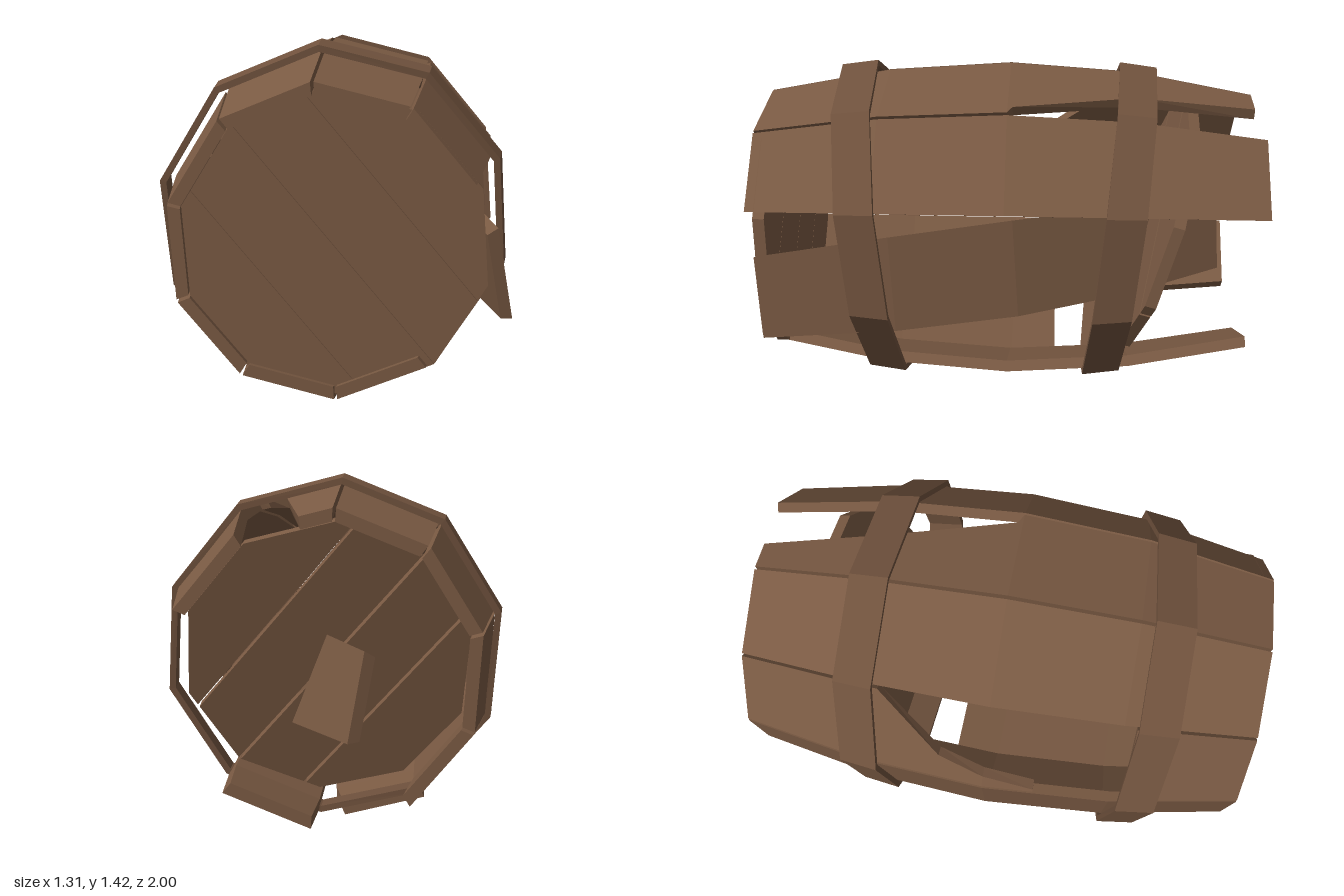
import * as THREE from 'three';

const CY = 0.745;                       // height of the barrel axis
const wood = new THREE.MeshStandardMaterial({ color: 0x7a5a43, flatShading: true });
const hoopWood = new THREE.MeshStandardMaterial({ color: 0x70523d, flatShading: true });

// Ten-sided barrel: angle of corner k, counted clockwise from the top
const cornerAngle = k => THREE.MathUtils.degToRad(94 - 36 * k);

// Outer corner radius along the barrel
function radiusAt(z) {
  const a = Math.abs(z);
  return a < 0.5 ? THREE.MathUtils.lerp(0.672, 0.638, a / 0.5)
    : THREE.MathUtils.lerp(0.638, 0.545, (a - 0.5) / 0.5);
}

// Joins four-cornered sections into a flat-sided solid
function loft(sections, closed = false) {
  const pos = [];
  const quad = (a, b, c, d) => [a, b, c, a, c, d].forEach(p => pos.push(p.x, p.y, p.z));
  const n = sections.length;
  for (let i = 0; i < (closed ? n : n - 1); i++) {
    const p = sections[i], q = sections[(i + 1) % n];
    for (let j = 0; j < 4; j++) quad(p[j], p[(j + 1) % 4], q[(j + 1) % 4], q[j]);
  }
  if (!closed) {
    const s = sections[0], e = sections[n - 1];
    quad(s[3], s[2], s[1], s[0]);
    quad(e[0], e[1], e[2], e[3]);
  }
  const g = new THREE.BufferGeometry();
  g.setAttribute('position', new THREE.Float32BufferAttribute(pos, 3));
  g.computeVertexNormals();
  return g;
}

// Point on side k, at fraction t between its two corners
function sidePoint(k, t, r, z) {
  const a = cornerAngle(k), b = cornerAngle(k + 1);
  return new THREE.Vector3(
    r * THREE.MathUtils.lerp(Math.cos(a), Math.cos(b), t),
    r * THREE.MathUtils.lerp(Math.sin(a), Math.sin(b), t), z);
}

// Stave on side k; each station is [z, t0, t1, radius offset]
function stave(name, k, stations) {
  const gap = 0.018, thick = 0.045;
  const sections = stations.map(([z, t0 = 0, t1 = 1, dr = 0]) => {
    const a = Math.max(t0, gap), b = Math.min(t1, 1 - gap);
    const r = radiusAt(z) + dr;
    return [sidePoint(k, a, r, z), sidePoint(k, b, r, z),
      sidePoint(k, b, r - thick, z), sidePoint(k, a, r - thick, z)];
  });
  const m = new THREE.Mesh(loft(sections), wood);
  m.name = name;
  return m;
}

// Slanted hoop around the staves; dir is +1 for the front, -1 for the back
function hoop(name, zMid, dir) {
  const sections = [];
  for (let k = 0; k < 10; k++) {
    const a = cornerAngle(k);
    const z = zMid + dir * 0.07 * Math.cos(a - THREE.MathUtils.degToRad(115));
    const at = (r, dz) => new THREE.Vector3(r * Math.cos(a), r * Math.sin(a), z + dz);
    const rb = dir > 0 ? 0.675 : 0.655, rf = dir > 0 ? 0.655 : 0.675;
    sections.push([at(rb, -0.075), at(rf, 0.075), at(rf - 0.025, 0.075), at(rb - 0.025, -0.075)]);
  }
  const m = new THREE.Mesh(loft(sections, true), hoopWood);
  m.name = name;
  return m;
}

// Ten-sided lid made of four planks
function lid(name, R, gap) {
  const group = new THREE.Group();
  group.name = name;
  const half = u => {
    const a = Math.abs(u);
    return a < 0.588 ? 1 - a * 0.191 / 0.588 : 0.809 - (a - 0.588) * 0.5 / 0.363;
  };
  const cuts = [-0.951, -0.476, 0, 0.476, 0.951];
  for (let i = 0; i < 4; i++) {
    const u0 = cuts[i] + (i > 0 ? gap : 0), u1 = cuts[i + 1] - (i < 3 ? gap : 0);
    const us = [u0, ...[-0.588, 0.588].filter(u => u > u0 && u < u1), u1];
    const pts = us.map(u => new THREE.Vector2(u * R, -half(u) * R));
    [...us].reverse().forEach(u => pts.push(new THREE.Vector2(u * R, half(u) * R)));
    const g = new THREE.ExtrudeGeometry(new THREE.Shape(pts), { depth: 0.045, bevelEnabled: false });
    g.translate(0, 0, -0.0225);
    g.rotateZ(THREE.MathUtils.degToRad(40));
    const m = new THREE.Mesh(g, wood);
    m.name = 'lidPlank' + (i + 1);
    group.add(m);
  }
  return group;
}

export function createModel() {
  const model = new THREE.Group();
  model.name = 'brokenBarrel';
  const barrel = new THREE.Group();
  barrel.name = 'barrel';
  barrel.position.y = CY;
  model.add(barrel);

  // Whole staves
  const whole = [[1], [0.5], [0], [-0.5], [-0.985]];
  for (const k of [4, 6, 7, 9]) barrel.add(stave('stave' + k, k, whole));
  barrel.add(stave('stave1', 1, [[1], [0.5], [0], [-0.5], [-1]]));

  // Top stave with its back corner split away
  barrel.add(stave('splitTopStave', 0,
    [[1], [0.5], [0, 0, 1], [-0.02, 0, 0.88], [-0.5, 0, 0.56], [-0.985, 0, 0.36]]));

  // Upper left stave, snapped in two
  barrel.add(stave('snappedStaveFront', 8, [[1], [0.55]]));
  barrel.add(stave('snappedStaveBack', 8,
    [[0.2, 0, 0.05], [0, 0, 0.15], [-0.18, 0, 0.3], [-0.43, 0, 1], [-0.5], [-0.985]]));

  // Bottom stave, broken off and hanging down
  barrel.add(stave('hangingStave', 5,
    [[1], [0.5, 0, 1, 0.02], [0, 0.1, 0.95, 0.075], [-0.2, 0.2, 0.92, 0.115]]));

  // Right stave, fallen through the inside
  const loose = stave('fallenStave', 2, whole);
  loose.geometry.translate(-0.63, -0.045, 0);
  const pivot = new THREE.Group();
  pivot.name = 'fallenStavePivot';
  pivot.position.set(0.35, -0.08, -0.03);
  pivot.rotation.set(0, 0.37, 0.12);
  pivot.add(loose);
  barrel.add(pivot);

  // Hoops
  barrel.add(hoop('frontHoop', 0.56, 1), hoop('backHoop', -0.455, -1));

  // Lids: the back one has slipped inwards and tilts
  const front = lid('frontLid', 0.535, 0.002);
  front.position.set(0.03, -0.01, 0.94);
  const back = lid('backLid', 0.545, 0.01);
  back.position.set(0.01, -0.02, -0.6);
  back.rotation.x = -0.28;
  barrel.add(front, back);

  return model;
}
